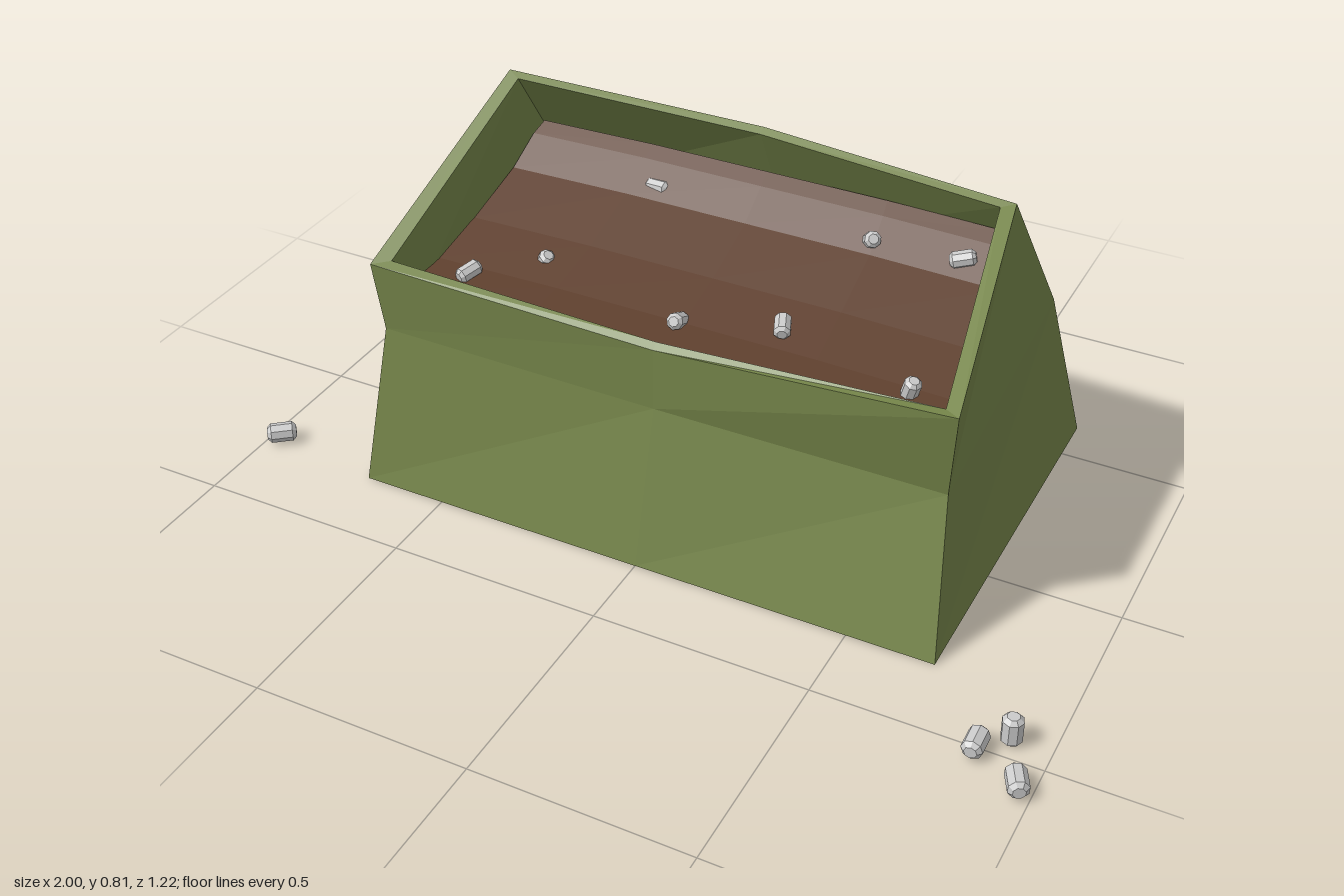
import * as THREE from 'three';

const green = new THREE.MeshStandardMaterial({ color: 0x75854a, flatShading: true });
const brown = new THREE.MeshStandardMaterial({ color: 0x5e3f2d, flatShading: true, side: THREE.DoubleSide });
const grey = new THREE.MeshStandardMaterial({ color: 0xcccccc, flatShading: true });

// Joins successive cross-sections with quads; closed sections wrap around
function loft(rings, closed, capFirst) {
  const pos = [];
  const tri = (a, b, c) => pos.push(...a, ...b, ...c);
  for (let r = 0; r < rings.length - 1; r++) {
    const a = rings[r], b = rings[r + 1], n = a.length;
    for (let i = 0; i < (closed ? n : n - 1); i++) {
      const j = (i + 1) % n;
      tri(a[i], a[j], b[j]);
      tri(a[i], b[j], b[i]);
    }
  }
  if (capFirst) {
    const f = rings[0];
    for (let i = 1; i < f.length - 1; i++) tri(f[0], f[i + 1], f[i]);
  }
  const g = new THREE.BufferGeometry();
  g.setAttribute('position', new THREE.Float32BufferAttribute(pos, 3));
  g.computeVertexNormals();
  return g;
}

// Bevelled octagonal pebble, long axis along y
function pebbleGeometry(radius, length) {
  const h = length / 2, b = radius * 0.4;
  const profile = [[0, -h], [radius - b, -h], [radius, -h + b], [radius, h - b], [radius - b, h], [0, h]];
  return new THREE.LatheGeometry(profile.map(([x, y]) => new THREE.Vector2(x, y)), 8);
}

export function createModel() {
  const group = new THREE.Group();
  const add = (name, geometry, material) => {
    const mesh = new THREE.Mesh(geometry, material);
    mesh.name = name;
    group.add(mesh);
    return mesh;
  };

  // Planter sections run front -x, front middle, front +x, back +x, back middle, back -x
  const base = [[-0.7, 0, 0.315], [0, 0, 0.315], [0.7, 0, 0.315], [0.7, 0, -0.615], [0, 0, -0.615], [-0.7, 0, -0.615]];
  const waist = [[-0.66, 0.385, 0.246], [0, 0.36, 0.22], [0.66, 0.345, 0.198], [0.63, 0.39, -0.535], [0, 0.435, -0.5], [-0.635, 0.415, -0.55]];
  const rimOuter = [[-0.68, 0.55, 0.253], [0, 0.507, 0.217], [0.68, 0.56, 0.23], [0.59, 0.742, -0.31], [0, 0.785, -0.31], [-0.62, 0.81, -0.26]];
  const rimInner = [[-0.64, 0.556, 0.228], [0, 0.52, 0.203], [0.643, 0.556, 0.205], [0.56, 0.735, -0.292], [0, 0.775, -0.292], [-0.59, 0.8, -0.245]];
  const insideWaist = waist.map(([x, y, z]) => [x * 0.95, y, z > 0 ? z - 0.035 : z + 0.04]);
  add('planterBox', loft([base, waist, rimOuter, rimInner, insideWaist], true, true), green);

  // Soil bed curving up toward the back: z, height, half width
  const soilRows = [[0.2, 0.475, 0.635], [0.08, 0.49, 0.625], [-0.06, 0.525, 0.61], [-0.22, 0.58, 0.6], [-0.3, 0.635, 0.59], [-0.335, 0.655, 0.58]];
  const soil = soilRows.map(([z, y, w]) => [-1, -0.5, 0, 0.5, 1].map(
    (u) => [u * w, y + (Math.abs(u) < 1 ? 0.006 : 0), z]));
  add('soil', loft(soil, false, false), brown);

  // Pebbles: position, then direction of the long axis
  const up = new THREE.Vector3(0, 1, 0);
  const scatter = (name, list, radius, length) => {
    const geometry = pebbleGeometry(radius, length);
    for (const [x, y, z, dx, dy, dz] of list) {
      const p = add(name, geometry, grey);
      p.position.set(x, y, z);
      p.quaternion.setFromUnitVectors(up, new THREE.Vector3(dx, dy, dz).normalize());
    }
  };
  scatter('groundPebble', [
    [-0.965, 0.025, 0.285, 1, 0, -0.8],
    [0.86, 0.025, 0.51, 0.03, 0, 1],
    [0.915, 0.035, 0.455, 0, 1, 0],
    [0.967, 0.025, 0.572, 0.5, 0, 1],
  ], 0.023, 0.068);
  scatter('soilPebble', [
    [-0.24, 0.598, -0.26, 1, 0.05, 0.1],
    [0.29, 0.605, -0.25, 0.4, 0.5, 0.6],
    [0.5, 0.612, -0.255, 1, 0.25, -0.4],
    [0.21, 0.522, 0.03, 0.4, -0.2, 1],
    [-0.01, 0.502, 0.085, 0.1, 0.5, 1],
    [0.53, 0.502, 0.1, 0.3, 1, 0.2],
    [-0.52, 0.498, 0.11, 0.4, 0.2, -1],
    [-0.39, 0.5, 0.0, 0.5, 0.8, 0.2],
  ], 0.019, 0.058);

  return group;
}
